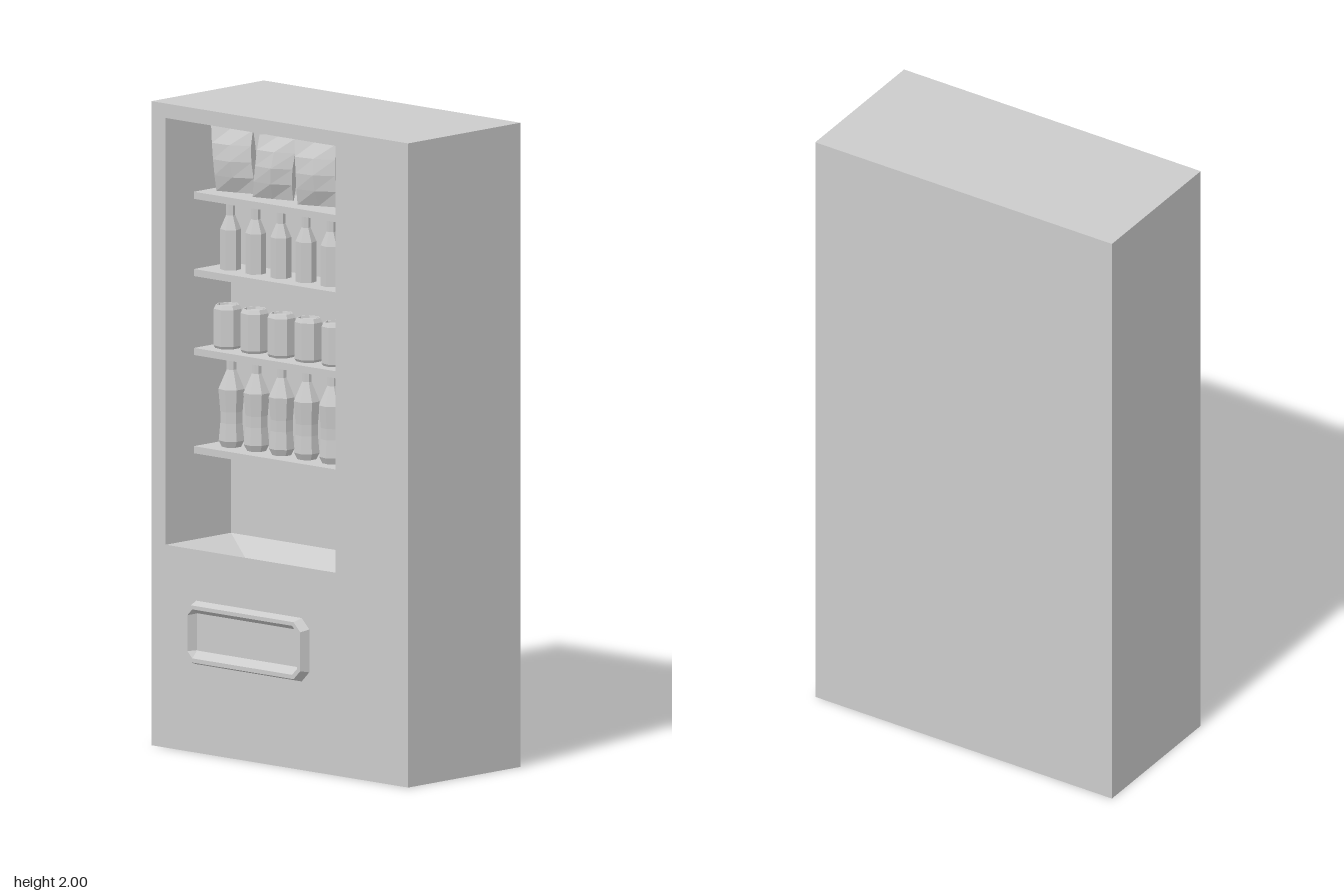
import * as THREE from 'three';

const material = new THREE.MeshStandardMaterial({ color: 0xcccccc, flatShading: true });

function add(parent, name, geometry, x = 0, y = 0, z = 0) {
  const mesh = new THREE.Mesh(geometry, material);
  mesh.name = name;
  mesh.position.set(x, y, z);
  parent.add(mesh);
  return mesh;
}

// Surface from four-cornered faces, corners counter-clockwise from the visible side
function quads(faces) {
  const points = faces.flatMap(([a, b, c, d]) => [a, b, c, a, c, d]).flat();
  const geometry = new THREE.BufferGeometry();
  geometry.setAttribute('position', new THREE.Float32BufferAttribute(points, 3));
  geometry.computeVertexNormals();
  return geometry;
}

// Rectangle with cut corners as a closed ring of eight points
function ring(x0, x1, y0, y1, cut, z) {
  return [
    [x0 + cut, y0, z], [x1 - cut, y0, z], [x1, y0 + cut, z], [x1, y1 - cut, z],
    [x1 - cut, y1, z], [x0 + cut, y1, z], [x0, y1 - cut, z], [x0, y0 + cut, z],
  ];
}

function bridge(rings) {
  const faces = [];
  for (let r = 0; r < rings.length - 1; r++) {
    for (let i = 0; i < 8; i++) {
      const j = (i + 1) % 8;
      faces.push([rings[r][i], rings[r][j], rings[r + 1][j], rings[r + 1][i]]);
    }
  }
  return quads(faces);
}

const lathe = (profile, sides) =>
  new THREE.LatheGeometry(profile.map(([r, y]) => new THREE.Vector2(r, y)), sides);

// Pillow bag pinched at its top and bottom seams
function bagGeometry(lean) {
  const w = 0.142, h = 0.2, d = 0.075;
  const geometry = new THREE.BoxGeometry(w, h, d, 2, 4, 2);
  const p = geometry.attributes.position;
  for (let i = 0; i < p.count; i++) {
    const t = p.getY(i) / (h / 2);
    const u = p.getX(i) / (w / 2);
    const puff = (1 - 0.9 * t * t) * (1 - 0.5 * u * u);
    p.setX(i, p.getX(i) * (0.92 + 0.08 * t * t) + lean * t);
    p.setY(i, p.getY(i) + (t > 0.9 ? lean * 0.4 * u : 0));
    p.setZ(i, p.getZ(i) * puff);
  }
  geometry.computeVertexNormals();
  return geometry;
}

export function createModel() {
  const model = new THREE.Group();
  model.name = 'vendingMachine';
  const W = 0.54, H = 2, F = 0.235, B = -0.265;
  const L = -0.48, R = 0.235, bottom = 0.63, top = 1.955, back = -0.055;

  // Outer cabinet: sides, top, base and back
  add(model, 'cabinetShell', quads([
    [[-W, 0, B], [-W, 0, F], [-W, H, F], [-W, H, B]],
    [[W, 0, F], [W, 0, B], [W, H, B], [W, H, F]],
    [[-W, H, F], [W, H, F], [W, H, B], [-W, H, B]],
    [[-W, 0, B], [W, 0, B], [W, 0, F], [-W, 0, F]],
    [[W, 0, B], [-W, 0, B], [-W, H, B], [W, H, B]],
  ]));

  // Front panel with the display window cut out
  const rect = (path, x0, x1, y0, y1) =>
    path.moveTo(x0, y0).lineTo(x1, y0).lineTo(x1, y1).lineTo(x0, y1).closePath();
  const panel = new THREE.Shape();
  rect(panel, -W, W, 0, H);
  const windowHole = new THREE.Path();
  rect(windowHole, L, R, bottom, top);
  panel.holes.push(windowHole);
  add(model, 'frontPanel', new THREE.ShapeGeometry(panel), 0, 0, F);

  // Display compartment walls
  add(model, 'compartment', quads([
    [[L, bottom, F], [L, bottom, back], [L, top, back], [L, top, F]],
    [[R, bottom, back], [R, bottom, F], [R, top, F], [R, top, back]],
    [[L, top, back], [R, top, back], [R, top, F], [L, top, F]],
    [[L, bottom, back], [R, bottom, back], [R, top, back], [L, top, back]],
  ]));

  // Hopper floor sloping inward below the shelves
  const rim = [[L, bottom, F], [R, bottom, F], [R, bottom, back], [L, bottom, back]];
  const y = bottom - 0.1;
  const pit = [[L + 0.2, y, F - 0.1], [R - 0.2, y, F - 0.1],
    [R - 0.2, y, back + 0.1], [L + 0.2, y, back + 0.1]];
  const slopes = rim.map((p, i) => [p, rim[(i + 1) % 4], pit[(i + 1) % 4], pit[i]]);
  add(model, 'hopper', quads([...slopes, pit]));

  // Shelves
  const shelfFront = 0.11;
  const shelfTops = [1.71, 1.47, 1.225, 0.92];
  shelfTops.forEach((yTop) => {
    const shelf = new THREE.BoxGeometry(R - L, 0.022, shelfFront - back);
    add(model, 'shelf', shelf, (L + R) / 2, yTop - 0.011, (shelfFront + back) / 2);
  });

  // Snack bags: x, lean, turn
  [[-0.383, -0.009, 0.3], [-0.207, 0.012, 0.25], [-0.035, -0.005, 0.35], [0.13, -0.008, -0.3]]
    .forEach(([x, lean, turn]) => {
      add(model, 'snackBag', bagGeometry(lean), x, 1.81, 0.03).rotation.y = turn;
    });

  // Rows of slim bottles, cans and large bottles
  const rows = [
    ['slimBottle', -0.398, 0.1057, 1, lathe([[0, 0], [0.032, 0], [0.032, 0.125],
      [0.014, 0.168], [0.014, 0.21], [0, 0.21]], 6)],
    ['can', -0.41, 0.1135, 2, lathe([[0, 0], [0.039, 0], [0.044, 0.008], [0.044, 0.122],
      [0.037, 0.135], [0.033, 0.135], [0.031, 0.128], [0, 0.128]], 7)],
    ['largeBottle', -0.394, 0.1057, 3, lathe([[0, 0], [0.03, 0], [0.04, 0.02], [0.035, 0.075],
      [0.035, 0.11], [0.041, 0.18], [0.015, 0.24], [0.015, 0.27], [0, 0.27]], 7)],
  ];
  rows.forEach(([name, start, step, shelf, geometry]) => {
    for (let i = 0; i < 6; i++) {
      add(model, name, geometry, start + i * step, shelfTops[shelf], 0.033).rotation.y = 0.25;
    }
  });

  // Delivery slot frame with bevelled outer and inner edges
  const inner = [-0.347, 0.082, 0.318, 0.434];
  add(model, 'deliveryFrame', bridge([
    ring(-0.384, 0.124, 0.275, 0.472, 0.032, F),
    ring(-0.374, 0.114, 0.285, 0.462, 0.028, 0.265),
    ring(-0.36, 0.1, 0.298, 0.45, 0.02, 0.265),
    ring(...inner, 0.001, F + 0.002),
  ]));
  const flap = new THREE.PlaneGeometry(inner[1] - inner[0], inner[3] - inner[2]);
  add(model, 'deliveryFlap', flap, (inner[0] + inner[1]) / 2, (inner[2] + inner[3]) / 2, F + 0.002);

  // Centre the full depth, including the slot frame
  return model;
}
